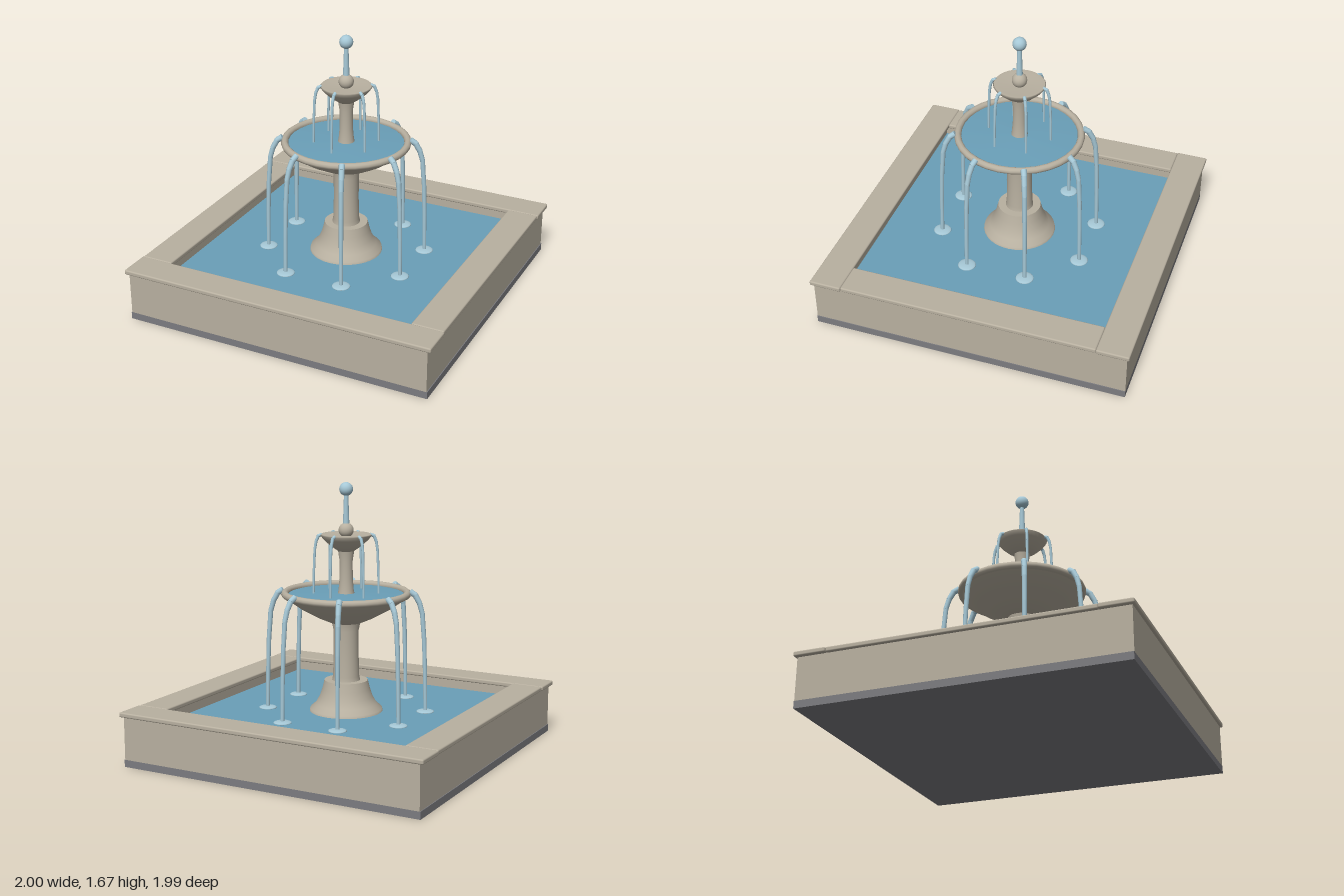
import * as THREE from 'three';
import { RoundedBoxGeometry } from 'three/addons/geometries/RoundedBoxGeometry.js';

const mat = (color) => new THREE.MeshStandardMaterial({ color });

export function createModel() {
  const stone = mat(0xb8b0a0), plinthGrey = mat(0x7c7c80);
  const water = mat(0x6a9fb8), jet = mat(0xa6c8d6);
  const root = new THREE.Group();

  const add = (name, geometry, material, x = 0, y = 0, z = 0, parent = root) => {
    const mesh = new THREE.Mesh(geometry, material);
    mesh.name = name;
    mesh.position.set(x, y, z);
    parent.add(mesh);
    return mesh;
  };
  const lathe = (points, segments = 32) =>
    new THREE.LatheGeometry(points.map(([r, y]) => new THREE.Vector2(r, y)), segments);

  // Square pool: plinth, walls, coping and water
  add('plinth', new THREE.BoxGeometry(1.96, 0.045, 1.96), plinthGrey, 0, 0.0225, 0);
  for (const s of [-1, 1]) {
    add('longWall', new THREE.BoxGeometry(1.95, 0.265, 0.16), stone, 0, 0.1775, s * 0.9);
    add('sideWall', new THREE.BoxGeometry(0.16, 0.265, 1.64), stone, s * 0.895, 0.1775, 0);
    add('longCoping', new RoundedBoxGeometry(2, 0.03, 0.2, 2, 0.009), stone, 0, 0.324, s * 0.897);
    add('sideCoping', new RoundedBoxGeometry(0.2, 0.03, 1.595, 2, 0.009), stone, s * 0.895, 0.324, 0);
  }
  add('poolWater', new THREE.BoxGeometry(1.64, 0.2, 1.64), water, 0, 0.15, 0);

  // Pedestal with flared foot, and main column
  add('pedestalFoot', lathe([[0.23, 0.24], [0.225, 0.265], [0.19, 0.295], [0.165, 0.34], [0.148, 0.39], [0.135, 0.445]]), stone);
  add('pedestalTop', new THREE.CircleGeometry(0.135, 32).rotateX(-Math.PI / 2), stone, 0, 0.445, 0);
  add('mainColumn', lathe([[0.088, 0.44], [0.082, 0.47], [0.078, 0.6], [0.078, 0.76], [0.09, 0.815]]), stone);

  // Large bowl with rounded rim and its water
  add('largeBowl', lathe([[0, 0.805], [0.1, 0.81], [0.18, 0.845], [0.28, 0.9], [0.35, 0.95], [0.395, 0.99]]), stone);
  add('largeBowlRim', new THREE.TorusGeometry(0.378, 0.022, 10, 32).rotateX(Math.PI / 2), stone, 0, 0.988, 0);
  add('largeBowlWater', lathe([[0.37, 0.968], [0.37, 0.984], [0, 0.992]]), water);

  // Upper column, small bowl and finial
  add('upperColumn', lathe([[0.055, 0.97], [0.047, 1.01], [0.041, 1.08], [0.04, 1.19], [0.05, 1.255]], 24), stone);
  add('smallBowl', lathe([[0, 1.25], [0.05, 1.252], [0.1, 1.288], [0.14, 1.325], [0.158, 1.35], [0.152, 1.356], [0.13, 1.35], [0, 1.345]]), stone);
  add('finial', new THREE.SphereGeometry(0.046, 24, 16), stone, 0, 1.38, 0);

  // Central jet and droplet ball
  add('centralJet', new THREE.CylinderGeometry(0.013, 0.02, 0.2, 12), jet, 0, 1.51, 0);
  add('jetBall', new THREE.SphereGeometry(0.042, 24, 16), jet, 0, 1.63, 0);

  // A falling stream of tapered segments in the x-y plane
  const up = new THREE.Vector3(0, 1, 0);
  const stream = (name, path, r0, r1, angle) => {
    const group = new THREE.Group();
    group.name = name;
    group.rotation.y = angle;
    const points = path.map(([r, y]) => new THREE.Vector3(r, y, 0));
    const n = points.length - 1;
    for (let i = 0; i < n; i++) {
      const a = points[i], b = points[i + 1];
      const ra = r0 + (r1 - r0) * i / n, rb = r0 + (r1 - r0) * (i + 1) / n;
      const dir = a.clone().sub(b);
      const mid = a.clone().add(b).multiplyScalar(0.5);
      const seg = add(name + 'Segment', new THREE.CylinderGeometry(ra, rb, dir.length() + 0.006, 10), jet, mid.x, mid.y, 0, group);
      seg.quaternion.setFromUnitVectors(up, dir.normalize());
    }
    root.add(group);
    return group;
  };

  // Eight streams from the large bowl, each with a splash in the pool
  const lowerPath = [[0.395, 1.005], [0.425, 0.985], [0.452, 0.935], [0.47, 0.87], [0.483, 0.7], [0.49, 0.5], [0.495, 0.25]];
  for (let i = 0; i < 8; i++) {
    const g = stream('lowerStream', lowerPath, 0.019, 0.012, (i + 0.5) * Math.PI / 4);
    const splash = add('splash', new THREE.SphereGeometry(0.056, 20, 10), jet, 0.494, 0.252, 0, g);
    splash.scale.y = 0.2;
  }

  // Six streams from the small bowl
  const upperPath = [[0.15, 1.352], [0.17, 1.345], [0.184, 1.31], [0.192, 1.26], [0.198, 1.12], [0.2, 0.985]];
  for (let i = 0; i < 6; i++) {
    stream('upperStream', upperPath, 0.011, 0.007, Math.PI / 6 + i * Math.PI / 3);
  }
  return root;
}
